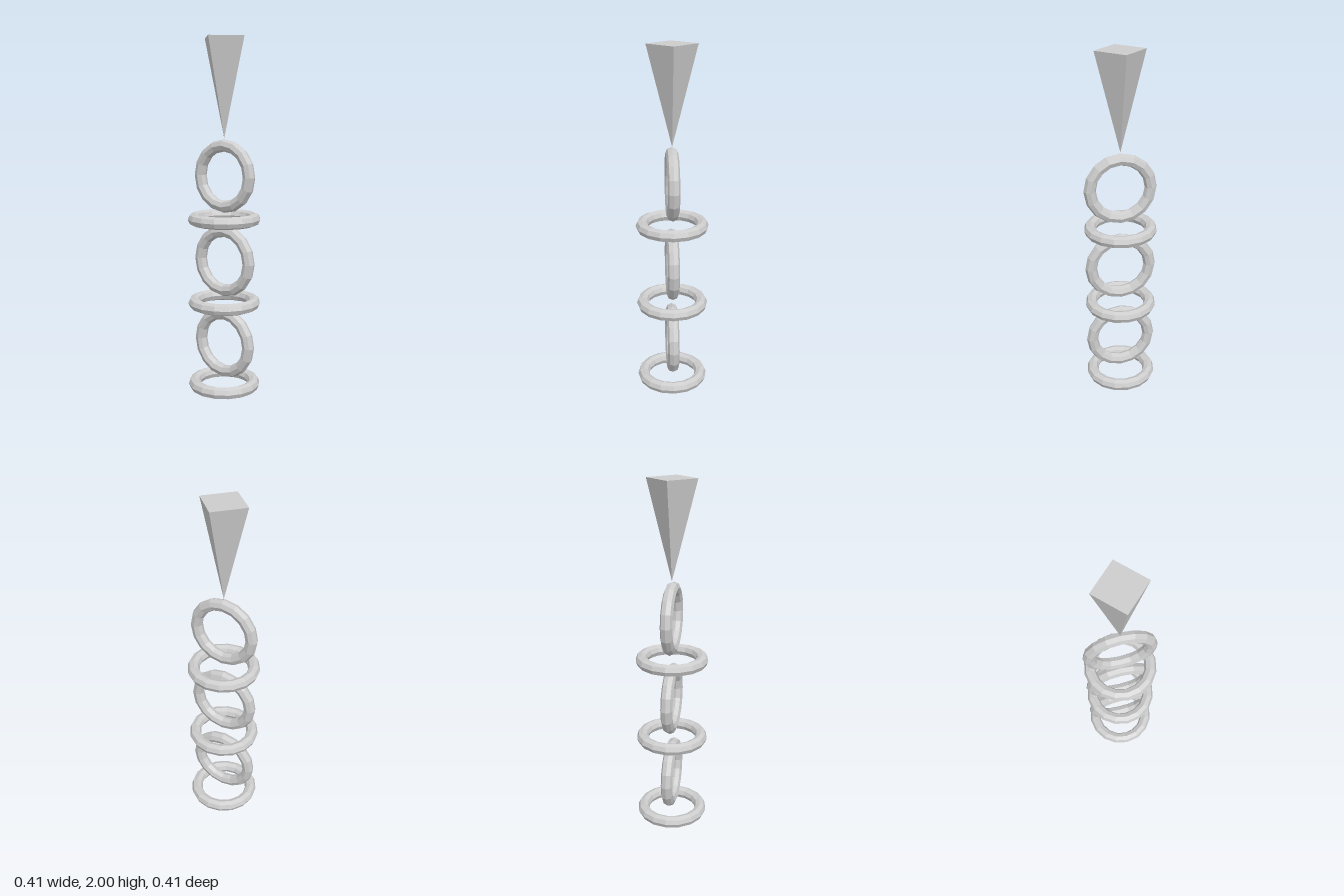
import * as THREE from 'three';

export function createModel() {
  const model = new THREE.Group();
  model.name = 'ringTower';
  const grey = new THREE.MeshStandardMaterial({ color: 0xcccccc, flatShading: true });
  grey.name = 'light grey';

  const R = 0.172, TUBE = 0.0344, STEP = 0.2413;

  // Six stacked rings, alternately lying flat and standing upright
  const ringGeometry = new THREE.TorusGeometry(R, TUBE, 8, 16);
  for (let i = 0; i < 6; i++) {
    const flat = i % 2 === 0;
    const ring = new THREE.Mesh(ringGeometry, grey);
    ring.name = flat ? 'flatRing' : 'uprightRing';
    if (flat) ring.rotation.x = Math.PI / 2;
    ring.position.y = TUBE + i * STEP;
    model.add(ring);
  }

  // Inverted four-sided spike balanced on its tip
  const height = 0.547;
  const spike = new THREE.Mesh(new THREE.ConeGeometry(0.1376, height, 4), grey);
  spike.name = 'invertedSpike';
  spike.rotation.x = Math.PI;
  spike.position.y = 2 - height / 2;
  model.add(spike);

  return model;
}
